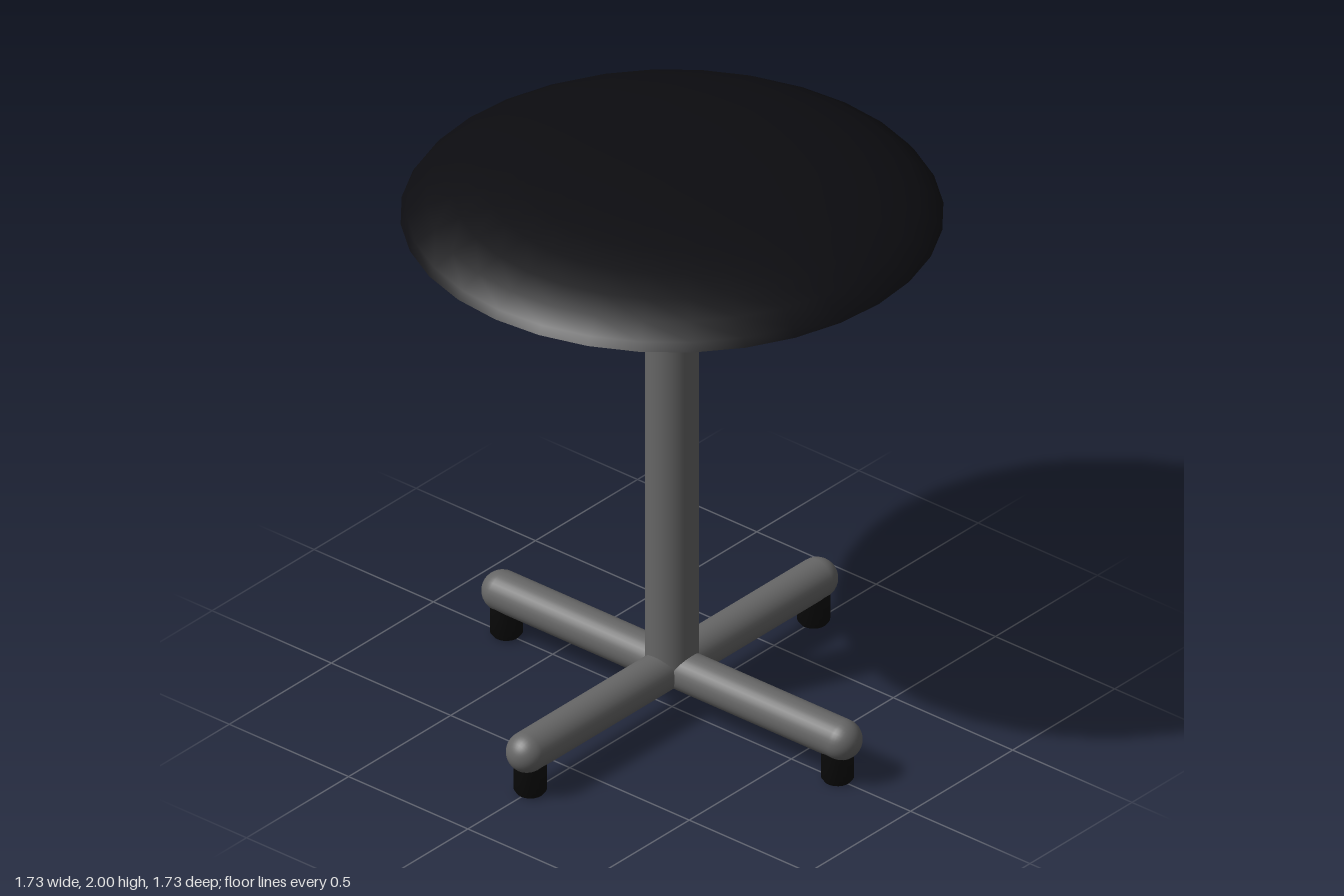
import * as THREE from 'three';
import { toCreasedNormals } from 'three/addons/utils/BufferGeometryUtils.js';

const metal = new THREE.MeshStandardMaterial({ color: 0x666666 });
const cushion = new THREE.MeshStandardMaterial({ color: 0x0c0c10 });
const rubber = new THREE.MeshStandardMaterial({ color: 0x0a0a0a });

function part(name, geometry, material, x = 0, y = 0, z = 0) {
  const mesh = new THREE.Mesh(geometry, material);
  mesh.name = name;
  mesh.position.set(x, y, z);
  return mesh;
}

// Solid of revolution from [radius, height] pairs, bottom to top
function lathe(points, segments) {
  const profile = points.map(([r, y]) => new THREE.Vector2(r, y));
  return toCreasedNormals(new THREE.LatheGeometry(profile, segments), 0.8);
}

export function createModel() {
  const model = new THREE.Group();
  model.name = 'stool';

  // Domed seat with a flat underside
  model.add(part('seat', lathe([
    [0, 1.83], [0.867, 1.83], [0.848, 1.856], [0.785, 1.896], [0.70, 1.929],
    [0.59, 1.957], [0.466, 1.977], [0.31, 1.991], [0.155, 1.998], [0, 2],
  ], 32), cushion));

  // Central post, sunk into the crossing arms
  model.add(part('post', new THREE.CylinderGeometry(0.087, 0.087, 1.68, 32), metal, 0, 0.995, 0));

  // Two crossing round-ended tubes make the four arms
  const armLength = 1.42, armRadius = 0.068;
  for (let i = 0; i < 2; i++) {
    const arm = part('baseArm', new THREE.CapsuleGeometry(armRadius, armLength, 10, 32), metal, 0, 0.155, 0);
    if (i === 0) arm.rotation.z = Math.PI / 2;
    else arm.rotation.x = Math.PI / 2;
    model.add(arm);
  }

  // A rubber foot under each arm end
  const footGeometry = lathe([
    [0, 0], [0.044, 0], [0.053, 0.012], [0.053, 0.14], [0, 0.14],
  ], 24);
  for (let i = 0; i < 4; i++) {
    const a = i * Math.PI / 2;
    model.add(part('foot', footGeometry, rubber, 0.694 * Math.cos(a), 0, 0.694 * Math.sin(a)));
  }

  return model;
}
